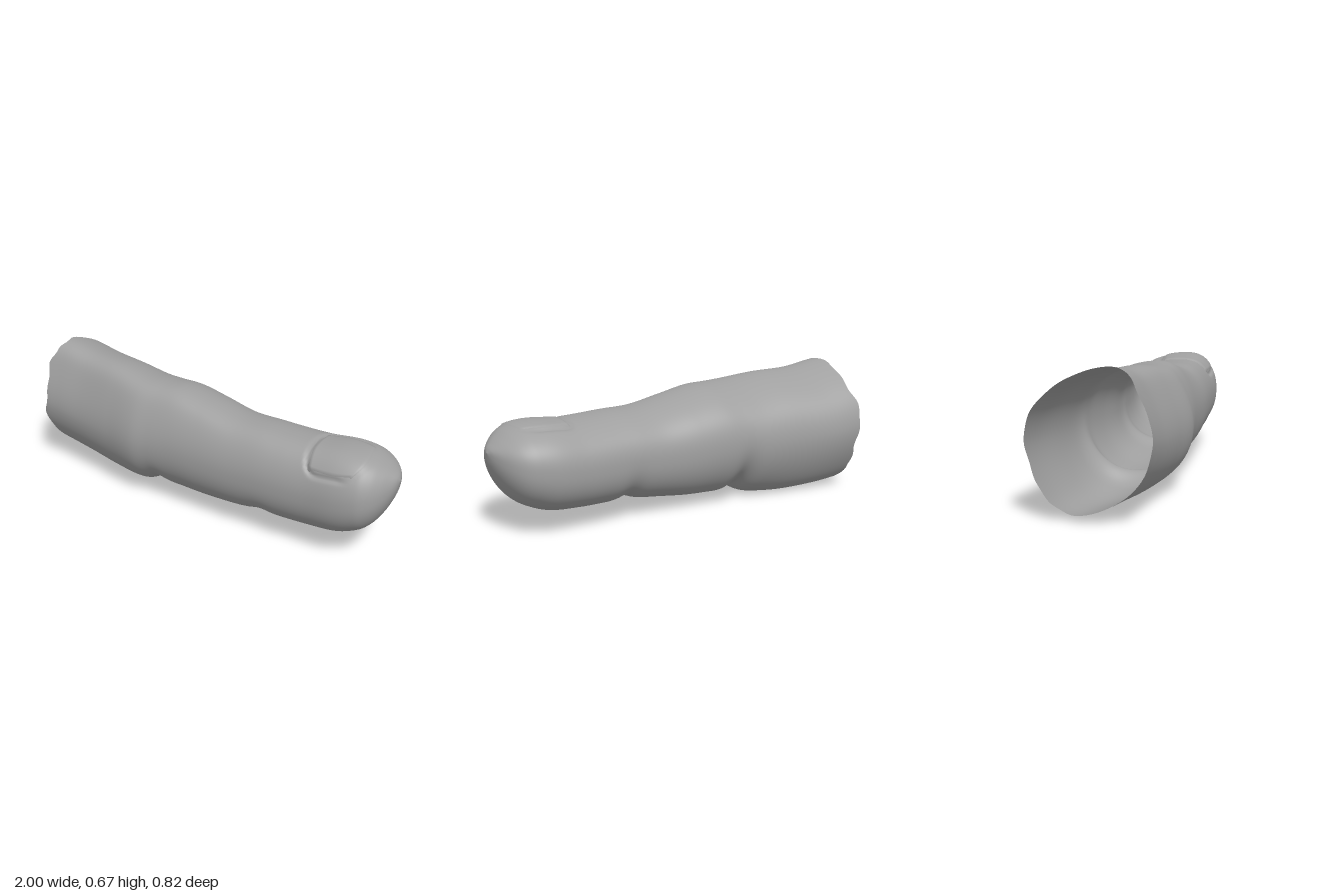
import * as THREE from 'three';

// Outline along the finger: x, bottom y, top y, back z, front z
const KEYS = [
  [-1.0, 0.045, 0.677, -0.42, 0.14],
  [-0.9, 0.028, 0.665, -0.408, 0.155],
  [-0.75, 0.012, 0.64, -0.375, 0.185],
  [-0.55, 0.001, 0.63, -0.315, 0.24],
  [-0.38, 0.014, 0.61, -0.268, 0.292],
  [-0.27, 0.04, 0.605, -0.236, 0.298],
  [-0.15, 0.047, 0.602, -0.21, 0.305],
  [0.0, 0.052, 0.572, -0.172, 0.32],
  [0.18, 0.07, 0.535, -0.122, 0.343],
  [0.35, 0.088, 0.53, -0.095, 0.364],
  [0.45, 0.09, 0.526, -0.085, 0.375],
  [0.6, 0.095, 0.524, -0.074, 0.39],
  [0.75, 0.11, 0.537, -0.06, 0.408],
  [0.85, 0.15, 0.53, -0.03, 0.402],
  [0.9, 0.19, 0.51, -0.002, 0.378],
  [0.94, 0.245, 0.484, 0.04, 0.338],
  [0.97, 0.305, 0.46, 0.095, 0.292],
  [0.99, 0.365, 0.44, 0.155, 0.25],
  [1.0, 0.42, 0.42, 0.21, 0.21],
];

const { smoothstep, clamp } = THREE.MathUtils;

const slope = (i, k) => {
  const a = KEYS[Math.max(i - 1, 0)], b = KEYS[Math.min(i + 1, KEYS.length - 1)];
  return (b[k] - a[k]) / (b[0] - a[0]);
};

// Smooth interpolation of one outline column
function outline(x, k) {
  let i = 0;
  while (i < KEYS.length - 2 && x > KEYS[i + 1][0]) i++;
  const a = KEYS[i], b = KEYS[i + 1], h = b[0] - a[0];
  const t = clamp((x - a[0]) / h, 0, 1), t2 = t * t, t3 = t2 * t;
  return (2 * t3 - 3 * t2 + 1) * a[k] + (t3 - 2 * t2 + t) * h * slope(i, k)
    + (3 * t2 - 2 * t3) * b[k] + (t3 - t2) * h * slope(i + 1, k);
}

// Point on the skin at station x and angle a (0 = front, PI/2 = top), raised by lift
function skinPoint(x, a, lift = 0) {
  const [y0, y1, z0, z1] = [1, 2, 3, 4].map((k) => outline(x, k));
  const hy = (y1 - y0) / 2, hz = (z1 - z0) / 2;
  const c = Math.cos(a), s = Math.sin(a);
  const toTip = smoothstep(x, -0.9, 0.5);
  const n = 1.85 + 0.4 * toTip;
  const r = (Math.abs(c) ** n + Math.abs(s) ** n) ** (-1 / n);
  // The top leans to the front, the underside of the base to the back
  const lean = s > 0 ? 0.32 - 0.12 * toTip : -0.2 * (1 - toTip);
  return new THREE.Vector3(x, (y0 + y1) / 2 + (hy * r + lift) * s, (z0 + z1) / 2 + (hz * r + lift) * c + lean * hz * s ** 4);
}

// Joint folds across the underside
function creases(x, a) {
  const under = Math.max(0, Math.cos(a - 4.5)) ** 2;
  const fold = (at, depth, width) => depth * Math.exp(-(((x - at) / width) ** 2));
  return -under * (fold(-0.265, 0.04, 0.05) + fold(0.345, 0.02, 0.055));
}

// Nail outline: straight at the root, cut diagonally at the front of its free edge
const NAIL = { x: 0.735, halfX: 0.145, angle: 1.32, halfAngle: 0.74 };
const nailReach = (u, v) => NAIL.halfX * (u > 0 ? 1 - 0.4 * Math.max(0, -v) ** 2 - 0.15 * Math.max(0, v) ** 2 : 1 - 0.1 * v * v);

// Groove pressed into the skin around the root and sides of the nail
function groove(x, a) {
  const v = (a - NAIL.angle) / NAIL.halfAngle;
  const dx = x - NAIL.x, u = dx / nailReach(dx, clamp(v, -1, 1));
  const d = (Math.abs(u) ** 6 + Math.abs(v) ** 6) ** (1 / 6);
  const depth = 0.002 + 0.01 * (1 - smoothstep(u, 0.2, 0.9));
  return -depth * Math.exp(-(((d - 1.01) / 0.07) ** 2));
}

// Surface over a grid of points, optionally closed across its columns
function gridGeometry(rows, cols, closed, point) {
  const pos = [], index = [], width = closed ? cols : cols + 1;
  for (let i = 0; i <= rows; i++)
    for (let j = 0; j < width; j++) pos.push(...point(i / rows, j / cols).toArray());
  for (let i = 0; i < rows; i++)
    for (let j = 0; j < cols; j++) {
      const k = (j + 1) % width;
      const a = i * width + j, b = a + width, c = i * width + k, d = c + width;
      index.push(a, b, c, b, d, c);
    }
  const g = new THREE.BufferGeometry();
  g.setAttribute('position', new THREE.Float32BufferAttribute(pos, 3));
  g.setIndex(index);
  g.computeVertexNormals();
  return g;
}

export function createModel() {
  const group = new THREE.Group();
  group.name = 'finger';
  const material = new THREE.MeshStandardMaterial({ color: 0xa0a0a0, side: THREE.DoubleSide });
  const add = (name, geometry) => {
    const mesh = new THREE.Mesh(geometry, material);
    mesh.name = name;
    group.add(mesh);
  };

  // Hollow skin with a slanted ragged open end, rows crowding toward the tip
  add('skin', gridGeometry(200, 140, true, (t, v) => {
    const a = v * Math.PI * 2;
    const start = -0.94 - 0.048 * Math.cos(a) + 0.03 * Math.max(0, -Math.sin(a)) ** 2
      + 0.01 * Math.sin(6 * a) + 0.005 * Math.sin(13 * a + 1);
    const along = t < 0.8 ? t * 1.15 : 1 - 0.08 * ((1 - t) / 0.2) ** 2;
    const x = start + (1 - start) * along;
    return skinPoint(x, a, groove(x, a) + creases(x, a));
  }));

  // Nail plate, its root and sides sunk into the groove, its free edge lying on the tip
  add('nail', gridGeometry(30, 30, false, (s, t) => {
    const u = s * 2 - 1, v = t * 2 - 1;
    const x = NAIL.x + u * nailReach(u, v);
    const a = NAIL.angle + NAIL.halfAngle * v * (1 - 0.1 * u * u);
    const rim = Math.max(Math.abs(u), Math.abs(v));
    const sink = u > 0.8 ? 0.007 : 0.016;
    return skinPoint(x, a, 0.003 - sink * smoothstep(rim, 0.86, 1));
  }));

  return group;
}
